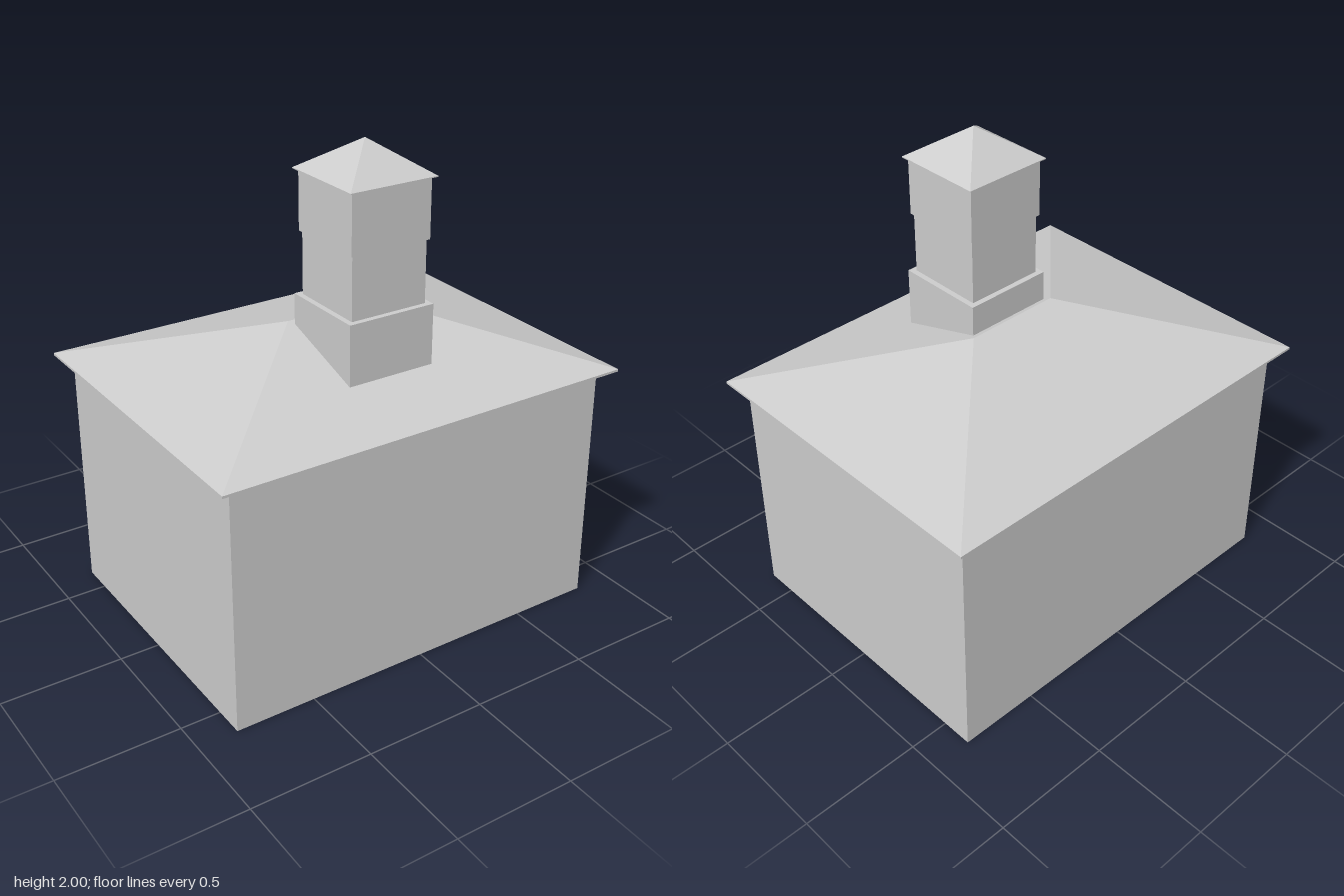
import * as THREE from 'three';

const EAVE = { x: 0.893, z: 0.687, low: 1.027, high: 1.037 };
const RIDGE = { x: 0.205, y: 1.258 };
const TOWER_Z = 0.21;

const plaster = new THREE.MeshStandardMaterial({ color: 0xcccccc, side: THREE.DoubleSide, flatShading: true });
plaster.name = 'plainGrey';

function add(group, name, geometry) {
  const mesh = new THREE.Mesh(geometry, plaster);
  mesh.name = name;
  group.add(mesh);
  return mesh;
}

// Box centred on x and z, spanning y0 to y1
function block(halfX, halfZ, y0, y1) {
  return new THREE.BoxGeometry(halfX * 2, y1 - y0, halfZ * 2).translate(0, (y0 + y1) / 2, 0);
}

// Four walls without floor or ceiling
function openWalls(halfX, halfZ, y0, y1) {
  const g = block(halfX, halfZ, y0, y1);
  const index = Array.from(g.index.array);
  g.setIndex([...index.slice(0, 12), ...index.slice(24)]);
  g.clearGroups();
  return g;
}

// Hipped roof: rectangular eave rising to a ridge along x (a point when ridgeX is 0)
function hipRoof(halfX, halfZ, ridgeX, y0, y1) {
  const a = [-halfX, y0, halfZ], b = [halfX, y0, halfZ];
  const c = [halfX, y0, -halfZ], d = [-halfX, y0, -halfZ];
  const l = [-ridgeX, y1, 0], r = [ridgeX, y1, 0];
  const faces = [a, b, r, c, d, l, b, c, r, d, a, l];
  if (ridgeX > 0) faces.push(a, r, l, c, l, r);
  const g = new THREE.BufferGeometry();
  g.setAttribute('position', new THREE.Float32BufferAttribute(faces.flat(), 3));
  g.computeVertexNormals();
  return g;
}

export function createModel() {
  const model = new THREE.Group();
  model.name = 'house';

  // Main body, open underneath
  add(model, 'walls', openWalls(0.835, 0.628, 0, EAVE.low));

  // Thin eave slab and hipped roof
  add(model, 'eaves', block(EAVE.x, EAVE.z, EAVE.low, EAVE.high));
  add(model, 'roof', hipRoof(EAVE.x, EAVE.z, RIDGE.x, EAVE.high, RIDGE.y));

  // Tower on the front slope
  const tower = new THREE.Group();
  tower.name = 'tower';
  tower.position.z = TOWER_Z;
  model.add(tower);

  // The lower edge of the base follows the slope of the roof
  const base = block(0.188, 0.188, 1.13, 1.377);
  const p = base.attributes.position;
  for (let i = 0; i < p.count; i++) {
    if (p.getY(i) > 1.2) continue;
    const t = (p.getZ(i) + TOWER_Z) / EAVE.z;
    p.setY(i, RIDGE.y + (EAVE.high - RIDGE.y) * t - 0.001);
  }
  base.computeVertexNormals();
  add(tower, 'towerBase', base);
  add(tower, 'towerShaft', block(0.165, 0.165, 1.377, 1.63));
  add(tower, 'towerHead', block(0.174, 0.174, 1.63, 1.868));

  // Pyramid cap with a thin eave
  add(tower, 'capEave', block(0.19, 0.19, 1.868, 1.872));
  add(tower, 'cap', hipRoof(0.19, 0.19, 0, 1.872, 2));

  return model;
}
